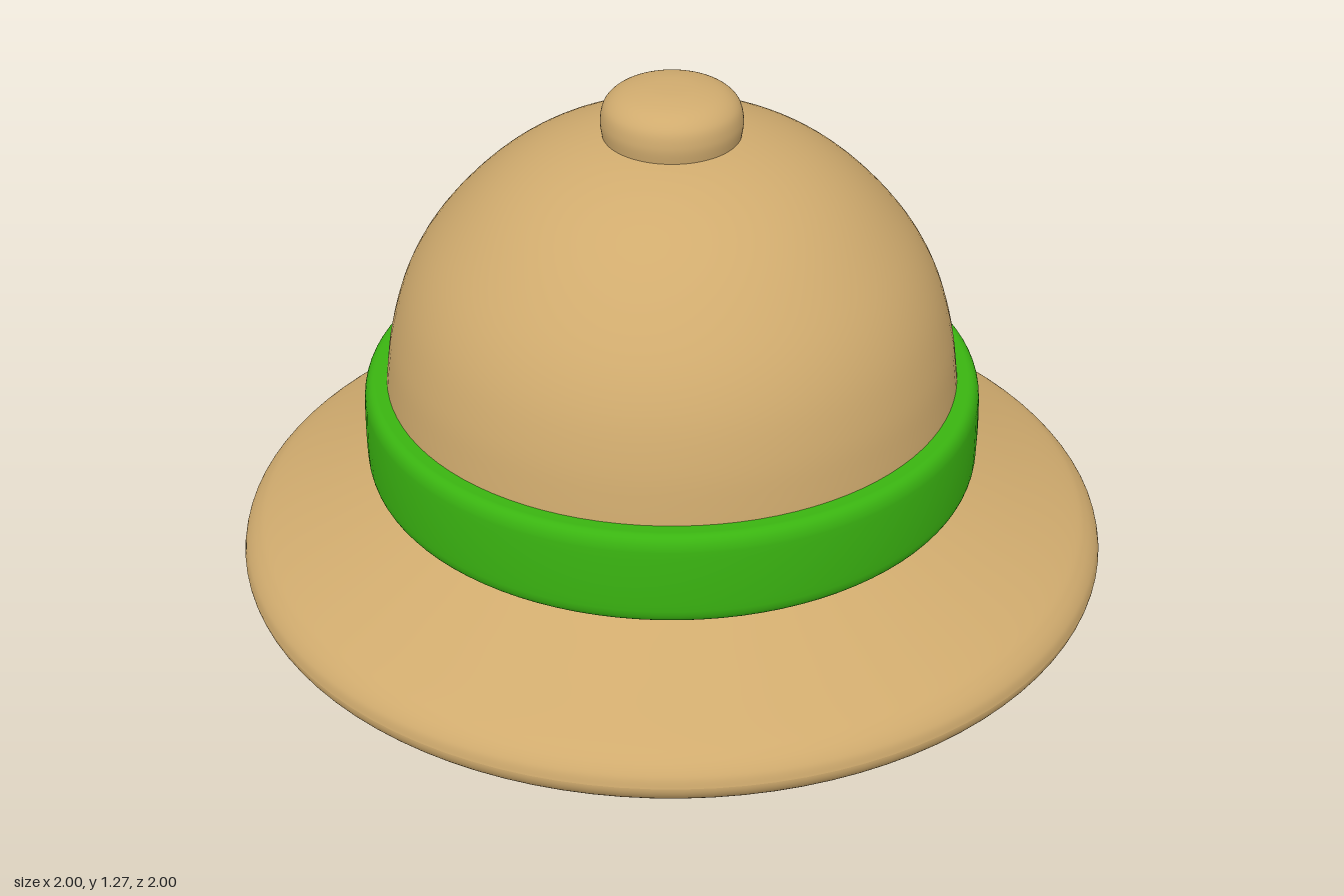
import * as THREE from 'three';
import { ParametricGeometry } from 'three/addons/geometries/ParametricGeometry.js';

const SEGMENTS = 96;

// Smooth surface of revolution through a few [radius, height] points, bottom to top
function turned(name, points, material, steps = 40) {
  const curve = new THREE.SplineCurve(points.map(([r, y]) => new THREE.Vector2(r, y)));
  const profile = curve.getPoints(steps).map((p) => new THREE.Vector2(Math.max(p.x, 0), p.y));
  const mesh = new THREE.Mesh(new THREE.LatheGeometry(profile, SEGMENTS), material);
  mesh.name = name;
  return mesh;
}

export function createModel() {
  const tan = new THREE.MeshStandardMaterial({ color: 0xd0ab6e });
  tan.name = 'tan cloth';
  const green = new THREE.MeshStandardMaterial({ color: 0x3ab411 });
  green.name = 'green band';
  const dark = new THREE.MeshStandardMaterial({ color: 0x3c2b1a });
  dark.name = 'dark lining';

  const hat = new THREE.Group();
  hat.name = 'sunHat';

  // Rounded lower rim: a quarter ellipse, split by a gently waving colour line
  const flatRadius = 0.55, rimHeight = 0.135;
  const splitAngle = (a) => {
    const y = 0.0925 - 0.0175 * Math.cos(2 * a) + 0.015 * Math.cos(a) + 0.005 * Math.sin(a);
    return Math.asin((y - rimHeight) / rimHeight);
  };
  const rim = (name, from, to, material) => {
    const surface = (u, v, target) => {
      const a = u * Math.PI * 2;
      const t = THREE.MathUtils.lerp(from(a), to(a), v);
      const r = flatRadius + (1 - flatRadius) * Math.cos(t);
      target.set(r * Math.sin(a), rimHeight * (1 + Math.sin(t)), r * Math.cos(a));
    };
    const mesh = new THREE.Mesh(new ParametricGeometry(surface, SEGMENTS, 14), material);
    mesh.name = name;
    hat.add(mesh);
  };
  rim('brimUndersideEdge', () => -Math.PI / 2, splitAngle, dark);
  rim('brimLowerEdge', splitAngle, () => 0, tan);

  // Flat closed underside
  const underside = new THREE.Mesh(new THREE.CircleGeometry(flatRadius, SEGMENTS), dark);
  underside.rotation.x = Math.PI / 2;
  underside.name = 'brimUnderside';
  hat.add(underside);

  // Sloping top of the brim
  hat.add(turned('brimTop', [
    [1, rimHeight], [0.993, 0.16], [0.97, 0.187], [0.93, 0.212],
    [0.8, 0.272], [0.66, 0.337], [0.6, 0.37],
  ], tan));

  // Band with rounded edges
  const bandShape = new THREE.Path();
  bandShape.moveTo(0.6, 0.333);
  bandShape.lineTo(0.67, 0.333);
  bandShape.quadraticCurveTo(0.698, 0.335, 0.702, 0.37);
  bandShape.quadraticCurveTo(0.706, 0.445, 0.702, 0.52);
  bandShape.quadraticCurveTo(0.698, 0.553, 0.675, 0.555);
  bandShape.lineTo(0.6, 0.555);
  const band = new THREE.Mesh(new THREE.LatheGeometry(bandShape.getPoints(8), SEGMENTS), green);
  band.name = 'band';
  hat.add(band);

  // Domed crown
  hat.add(turned('crown', [
    [0.655, 0.5], [0.648, 0.58], [0.633, 0.68], [0.6, 0.79], [0.545, 0.89],
    [0.46, 0.99], [0.37, 1.065], [0.27, 1.118], [0.15, 1.153], [0, 1.165],
  ], tan));

  // Button on top
  hat.add(turned('topButton', [
    [0.145, 1.12], [0.154, 1.155], [0.157, 1.19], [0.147, 1.225],
    [0.115, 1.25], [0.06, 1.263], [0, 1.266],
  ], tan));

  return hat;
}
